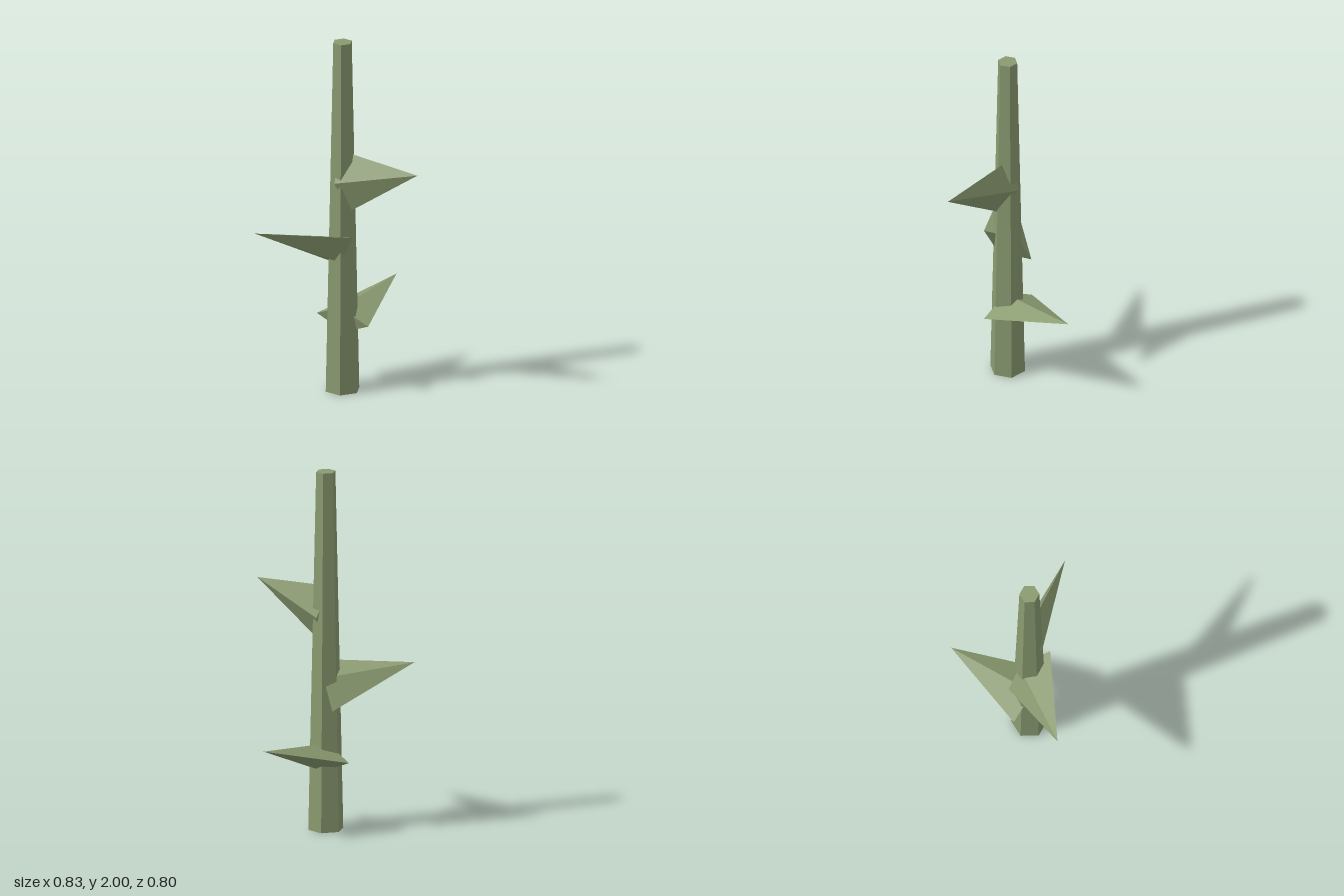
import * as THREE from 'three';

export function createModel() {
  const group = new THREE.Group();
  const green = new THREE.MeshStandardMaterial({ color: 0x8a9a70, flatShading: true });
  green.name = 'sageGreen';

  // Tapered six-sided stem
  const axisX = -0.065, axisZ = -0.077;
  const stem = new THREE.Mesh(new THREE.CylinderGeometry(0.054, 0.098, 2, 6), green);
  stem.name = 'stem';
  stem.position.set(axisX, 1, axisZ);
  group.add(stem);

  // Flattened four-sided thorn from the stem axis to its tip;
  // "wide" is the half-width vector of its diamond base
  function addThorn(name, height, tip, wide) {
    const base = new THREE.Vector3(axisX, height, axisZ);
    const along = new THREE.Vector3(...tip).sub(base);
    const across = new THREE.Vector3(...wide);
    const thin = across.clone().cross(along).setLength(0.077);
    const geometry = new THREE.ConeGeometry(1, 1, 4).translate(0, 0.5, 0);
    geometry.applyMatrix4(new THREE.Matrix4().makeBasis(across, along, thin).setPosition(base));
    const thorn = new THREE.Mesh(geometry, green);
    thorn.name = name;
    group.add(thorn);
  }

  addThorn('lowerThorn', 0.4, [0.416, 0.525, -0.08], [0, 0, 0.175]);
  addThorn('middleThorn', 0.802, [-0.418, 0.926, -0.403], [-0.065, 0.113, 0.114]);
  addThorn('upperThorn', 1.2, [-0.022, 1.325, 0.4], [0.012, 0.169, -0.044]);

  return group;
}
